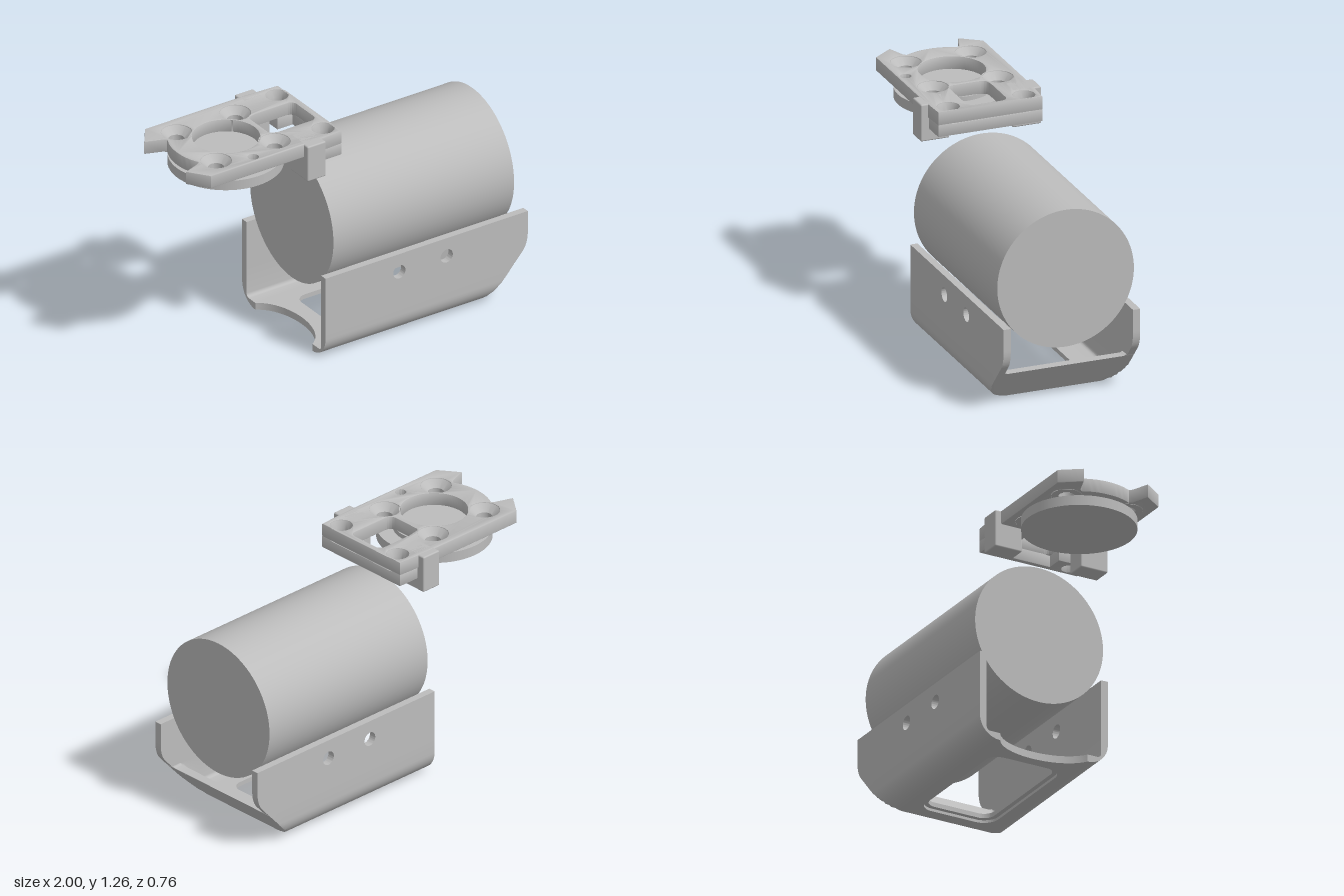
import * as THREE from 'three';
import { toCreasedNormals } from 'three/addons/utils/BufferGeometryUtils.js';
import { RoundedBoxGeometry } from 'three/addons/geometries/RoundedBoxGeometry.js';

const grey = new THREE.MeshStandardMaterial({ color: 0xbcbcbc, side: THREE.DoubleSide });
grey.name = 'plain grey';

function add(group, name, geometry, x = 0, y = 0, z = 0) {
  const mesh = new THREE.Mesh(geometry, grey);
  mesh.name = name;
  mesh.position.set(x, y, z);
  group.add(mesh);
  return mesh;
}

const polygon = (points) => new THREE.Shape(points.map(([x, y]) => new THREE.Vector2(x, y)));

function circleHole(x, y, r) {
  const path = new THREE.Path();
  path.absarc(x, y, r, 0, Math.PI * 2, true);
  return path;
}

// Rectangle with rounded corners, used as an opening
function windowHole(x0, x1, halfWidth, r) {
  const path = new THREE.Path();
  path.absarc(x0 + r, -halfWidth + r, r, Math.PI * 1.5, Math.PI, true);
  path.absarc(x0 + r, halfWidth - r, r, Math.PI, Math.PI / 2, true);
  path.absarc(x1 - r, halfWidth - r, r, Math.PI / 2, 0, true);
  path.absarc(x1 - r, -halfWidth + r, r, 0, -Math.PI / 2, true);
  path.closePath();
  return path;
}

function extrude(shape, depth, bevel = 0) {
  const g = new THREE.ExtrudeGeometry(shape, {
    depth: depth - 2 * bevel, curveSegments: 32, bevelEnabled: bevel > 0,
    bevelThickness: bevel, bevelSize: bevel, bevelOffset: -bevel, bevelSegments: 2,
  });
  return toCreasedNormals(g.translate(0, 0, bevel), 0.6);
}

// Plan outlines (x, -z) become slabs rising from y = 0
const slab = (shape, depth, bevel) => extrude(shape, depth, bevel).rotateX(-Math.PI / 2);

// Joins equal-length sections of [z, y] points placed along x
function loft(stations) {
  const n = stations[0].points.length;
  const positions = [], index = [];
  for (const { x, points } of stations) for (const [z, y] of points) positions.push(x, y, z);
  for (let i = 0; i < stations.length - 1; i++) {
    for (let j = 0; j < n; j++) {
      const a = i * n + j, b = i * n + (j + 1) % n, c = b + n, d = a + n;
      index.push(a, d, c, a, c, b);
    }
  }
  const contour = stations[0].points.map(([z, y]) => new THREE.Vector2(z, y));
  for (const [a, b, c] of THREE.ShapeUtils.triangulateShape(contour, [])) index.push(a, b, c);
  const g = new THREE.BufferGeometry();
  g.setAttribute('position', new THREE.Float32BufferAttribute(positions, 3));
  g.setIndex(index);
  return toCreasedNormals(g, 0.6);
}

// Lower corner of the cradle: rounded outside, small fillet inside, cut by the ramp
function cornerSection(x, side) {
  const under = Math.max(0, (x - 0.74) * 1.114);
  const floor = Math.min(0.195, Math.max(0.04, 0.04 + (x - 0.723) * 1.114));
  const points = [];
  for (let i = 0; i <= 12; i++) {
    const a = (i / 12) * Math.PI / 2;
    points.push([0.26 + 0.12 * Math.sin(a), Math.max(under, 0.12 - 0.12 * Math.cos(a))]);
  }
  points.push([0.38, 0.2], [0.34, 0.2]);
  for (let i = 0; i <= 4; i++) {
    const a = (i / 4) * Math.PI / 2;
    points.push([0.32 + 0.02 * Math.cos(a), Math.min(0.2, floor + 0.02 - 0.02 * Math.sin(a))]);
  }
  points.push([0.26, floor]);
  return side > 0 ? points : points.map(([z, y]) => [-z, y]).reverse();
}

function createCradle() {
  const cradle = new THREE.Group();
  cradle.name = 'cradle';

  // Side walls with two bolt holes and a rounded nose
  const wall = new THREE.Shape();
  wall.moveTo(-0.26, 0.2);
  wall.lineTo(0.9195, 0.2);
  wall.lineTo(0.965, 0.251);
  wall.quadraticCurveTo(1, 0.29, 1, 0.36);
  wall.lineTo(1, 0.48);
  wall.lineTo(-0.26, 0.48);
  wall.holes.push(circleHole(0.2, 0.375, 0.038), circleHole(0.495, 0.375, 0.038));
  const xs = [-0.26, 0.723, 0.74, 0.755, 0.77, 0.79, 0.81, 0.835, 0.862, 0.89, 0.915];
  for (const side of [1, -1]) {
    const label = side > 0 ? 'left' : 'right';
    add(cradle, label + 'Wall', extrude(wall, 0.04), 0, 0, side > 0 ? 0.34 : -0.38);
    add(cradle, label + 'Corner', loft(xs.map((x) => ({ x, points: cornerSection(x, side) }))));
  }

  // Floor in two layers, so the window has a stepped rim
  const floorLayer = (grow) => {
    const s = new THREE.Shape();
    s.moveTo(0.7, -0.26);
    s.lineTo(0.7, 0.26);
    s.lineTo(-0.26, 0.26);
    s.bezierCurveTo(-0.11, 0.17, -0.11, -0.17, -0.26, -0.26);
    s.closePath();
    s.holes.push(windowHole(-0.06 - grow, 0.64 + grow, 0.19 + grow, 0.06 + grow));
    return s;
  };
  add(cradle, 'floorUnderside', slab(floorLayer(0.025), 0.015));
  add(cradle, 'floor', slab(floorLayer(0), 0.025), 0, 0.015);

  // Sloping end of the floor
  const ramp = polygon([[0.7, 0], [0.74, 0], [0.915, 0.195], [0.862, 0.195], [0.723, 0.04], [0.7, 0.04]]);
  add(cradle, 'ramp', extrude(ramp, 0.52), 0, 0, -0.26);
  return cradle;
}

function createMountPlate() {
  const mount = new THREE.Group();
  mount.name = 'mountPlate';
  const screws = [];
  for (const s of [1, -1]) {
    screws.push([-0.805, s * 0.18, 0.08], [-0.44, s * 0.18, 0.08], [-0.16, s * 0.21, 0.058]);
  }

  // Top plate with a forked end, round pocket, window and screw holes
  const plate = new THREE.Shape();
  plate.moveTo(-0.1, -0.29);
  plate.lineTo(-0.1, 0.29);
  plate.lineTo(-0.3, 0.3);
  plate.lineTo(-0.92, 0.3);
  plate.lineTo(-1, 0.19);
  plate.lineTo(-0.905, 0.155);
  for (let i = 0; i <= 16; i++) {
    const a = Math.PI - 0.48 + (i / 16) * 0.96;
    plate.lineTo(-0.62 + 0.305 * Math.cos(a), 0.305 * Math.sin(a));
  }
  plate.lineTo(-0.905, -0.155);
  plate.lineTo(-1, -0.19);
  plate.lineTo(-0.92, -0.3);
  plate.lineTo(-0.3, -0.3);
  plate.closePath();
  plate.holes.push(circleHole(-0.62, 0, 0.175), windowHole(-0.415, -0.13, 0.11, 0.035),
    circleHole(-0.625, -0.255, 0.028));
  for (const [x, z, r] of screws) plate.holes.push(circleHole(x, z, r));
  add(mount, 'plate', slab(plate, 0.075, 0.005), 0, 1.185);

  // Countersinks
  for (const [x, z, r] of screws) {
    const profile = [[r, 0.071], [0.042, 0.035], [0.042, 0], [r, 0]].map(([px, py]) => new THREE.Vector2(px, py));
    add(mount, 'countersink', toCreasedNormals(new THREE.LatheGeometry(profile, 32), 0.6), x, 1.185, z);
  }

  // Thicker end block, open around the window
  const block = polygon([[-0.1, -0.29], [-0.1, 0.29], [-0.225, 0.29], [-0.225, 0.11], [-0.13, 0.11],
    [-0.13, -0.11], [-0.225, -0.11], [-0.225, -0.29]]);
  for (const s of [1, -1]) block.holes.push(circleHole(-0.16, s * 0.21, 0.042));
  add(mount, 'endBlock', slab(block, 0.07, 0.005), 0, 1.12);

  // Feet reaching down on both sides
  for (const s of [1, -1]) {
    add(mount, 'foot', new RoundedBoxGeometry(0.115, 0.205, 0.16, 2, 0.008), -0.2825, 1.1575, s * 0.255);
  }

  // Round disc and its neck under the plate
  add(mount, 'neck', new THREE.CylinderGeometry(0.215, 0.215, 0.03, 64), -0.62, 1.175);
  add(mount, 'disc', new THREE.CylinderGeometry(0.3, 0.3, 0.055, 64), -0.622, 1.1375);
  return mount;
}

export function createModel() {
  const model = new THREE.Group();
  model.name = 'cylinderMount';
  const body = new THREE.CylinderGeometry(0.38, 0.38, 1.125, 96).rotateZ(Math.PI / 2);
  add(model, 'cylinderBody', body, 0.352, 0.677, 0);
  model.add(createCradle(), createMountPlate());
  return model;
}
